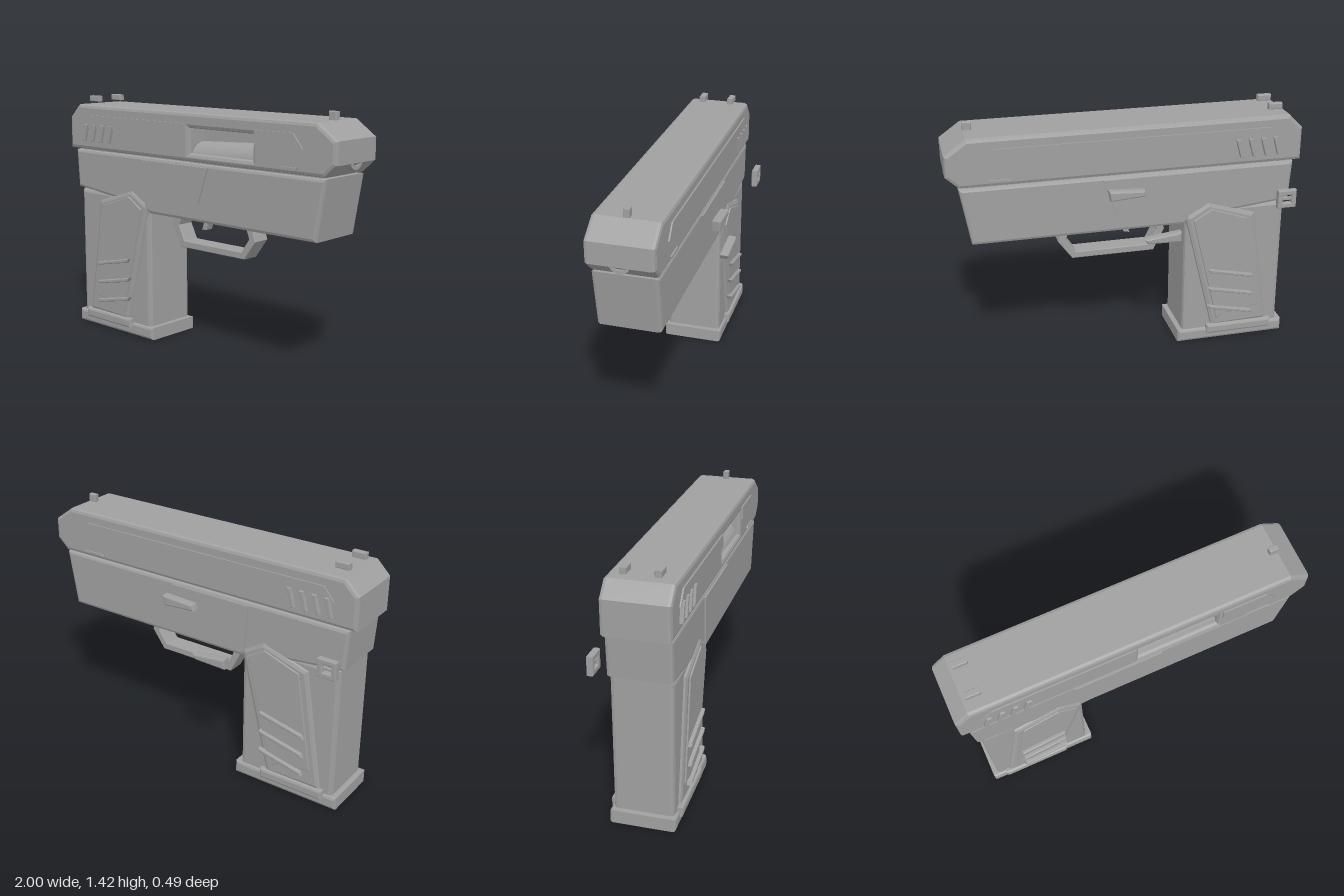
import * as THREE from 'three';

export function createModel() {
  const root = new THREE.Group();
  root.name = 'pistol';
  const g = new THREE.Group();
  g.name = 'body';
  g.position.z = 0.035; // the body sits slightly forward of the loose side controls
  root.add(g);

  const grey = new THREE.MeshStandardMaterial({ color: 0xa0a0a0 });
  grey.name = 'grey';

  const add = (name, geometry) => {
    const m = new THREE.Mesh(geometry, grey);
    m.name = name;
    g.add(m);
    return m;
  };
  const path = (pts) => pts.map(([x, y]) => new THREE.Vector2(x, y));

  // Side profile extruded from z0 to z1, with the bevel kept inside the profile
  const prism = (name, pts, z0, z1, bevel = 0, hole = null) => {
    const shape = new THREE.Shape(path(pts));
    if (hole) shape.holes.push(new THREE.Path(path(hole)));
    const geo = new THREE.ExtrudeGeometry(shape, {
      depth: z1 - z0 - 2 * bevel, bevelEnabled: bevel > 0,
      bevelSize: bevel, bevelThickness: bevel, bevelOffset: -bevel, bevelSegments: 2,
    });
    geo.translate(0, 0, z0 + bevel);
    return add(name, geo);
  };
  const both = (name, pts, z0, z1, bevel = 0) => {
    prism(name + 'Left', pts, z0, z1, bevel);
    prism(name + 'Right', pts, -z1, -z0, bevel);
  };
  const rect = (x0, y0, x1, y1) => [[x0, y0], [x1, y0], [x1, y1], [x0, y1]];

  // Slide with ejection port; the plug closes the port on the far side
  prism('slide', [[-1, 1.1], [0.93, 1.1], [1, 1.165], [1, 1.285], [0.88, 1.37], [-0.92, 1.37], [-1, 1.29]],
    -0.18, 0.18, 0.02, rect(0.01, 1.145, 0.47, 1.285));
  prism('portFloor', rect(-0.01, 1.125, 0.49, 1.305), -0.18, 0.05);
  const barrel = add('barrel', new THREE.CylinderGeometry(0.1, 0.1, 0.49, 32));
  barrel.rotation.z = Math.PI / 2 + 0.045;
  barrel.position.set(0.24, 1.115, 0.055);

  // Muzzle ring below the slide nose
  const ring = new THREE.Shape().absarc(0, 0, 0.055, 0, Math.PI * 2);
  ring.holes.push(new THREE.Path().absarc(0, 0, 0.036, 0, Math.PI * 2));
  const muzzle = add('muzzle', new THREE.ExtrudeGeometry(ring, { depth: 0.12, bevelEnabled: false, curveSegments: 16 }));
  muzzle.rotation.y = Math.PI / 2;
  muzzle.position.set(0.878, 1.185, 0);

  // Raised side strips, split around the port on the open side
  prism('slideStripRear', [[-0.87, 1.235], [-0.01, 1.235], [-0.01, 1.31], [-0.81, 1.31]], 0.18, 0.188);
  prism('slideStripFront', [[0.49, 1.235], [0.8, 1.235], [0.74, 1.31], [0.49, 1.31]], 0.18, 0.188);
  prism('slideStripFar', [[-0.87, 1.235], [0.8, 1.235], [0.74, 1.31], [-0.81, 1.31]], -0.188, -0.18);
  for (let i = 0; i < 4; i++) {
    const x = -0.87 + i * 0.073;
    both('serration', [[x, 1.15], [x + 0.02, 1.15], [x + 0.05, 1.255], [x + 0.025, 1.255]], 0.175, 0.2, 0.004);
  }
  both('slideMark', [[0.64, 1.125], [0.76, 1.125], [0.775, 1.137], [0.655, 1.137]], 0.175, 0.188);

  // Sights
  for (const z of [-0.0875, 0.0875]) {
    prism('rearSight', rect(-0.9, 1.385, -0.82, 1.42), z - 0.018, z + 0.018, 0.005);
  }
  prism('frontSight', [[0.835, 1.36], [0.88, 1.36], [0.88, 1.415], [0.83, 1.415]], -0.016, 0.016, 0.005);

  // Frame
  prism('rail', rect(-0.93, 1.07, 0.9, 1.12), -0.15, 0.15);
  prism('frame', [[-0.945, 0.86], [-0.62, 0.825], [-0.36, 0.8], [-0.32, 0.765], [0.88, 0.765], [0.935, 1.093], [-0.96, 1.093]],
    -0.172, 0.172, 0.018);
  both('framePlate', [[-0.34, 0.8], [0.08, 0.87], [0.15, 1.075], [-0.36, 1.075]], 0.17, 0.18);

  // Trigger and guard
  prism('triggerGuard', [[-0.2, 0.78], [-0.235, 0.7], [-0.17, 0.57], [0.31, 0.57], [0.39, 0.68], [0.36, 0.78],
    [0.31, 0.78], [0.345, 0.69], [0.29, 0.61], [-0.145, 0.61], [-0.19, 0.7], [-0.155, 0.78]], -0.054, 0.054, 0.005);
  prism('trigger', [[-0.035, 0.685], [0.0, 0.69], [0.035, 0.78], [-0.025, 0.78], [-0.02, 0.73]], -0.025, 0.025, 0.004);

  // Grip
  prism('gripCore', rect(-0.92, 0.05, -0.325, 0.85), -0.165, 0.165, 0.022);
  both('gripPanel', [[-0.85, 0.09], [-0.5, 0.08], [-0.32, 0.81], [-0.46, 0.89], [-0.74, 0.8]], 0.12, 0.182, 0.025);
  both('gripInlay', [[-0.785, 0.2], [-0.58, 0.17], [-0.53, 0.135], [-0.37, 0.785], [-0.475, 0.85], [-0.69, 0.775]], 0.176, 0.19, 0.004);
  for (let i = 0; i < 3; i++) {
    const y = 0.16 + i * 0.118;
    both('gripRib', [[-0.745, y], [-0.48, y + 0.055], [-0.465, y + 0.08], [-0.735, y + 0.022]], 0.18, 0.21, 0.006);
  }

  // Magazine base
  prism('basePlate', rect(-0.95, 0, -0.295, 0.075), -0.18, 0.18, 0.015);
  both('baseClip', rect(-0.87, 0.04, -0.47, 0.1), 0.1, 0.197, 0.014);

  // Controls standing off the right side
  prism('slideStop', [[-0.07, 1.0], [0.13, 0.985], [0.14, 1.045], [-0.06, 1.035]], -0.275, -0.222, 0.01);
  prism('magazineRelease', [[-0.275, 0.705], [-0.08, 0.71], [-0.06, 0.74], [-0.275, 0.765]], -0.275, -0.222, 0.01);
  prism('rearCatch', rect(-0.95, 0.85, -0.84, 0.955), -0.272, -0.236, 0.005, rect(-0.922, 0.878, -0.868, 0.927));
  prism('rearCatchBar', rect(-0.93, 0.896, -0.86, 0.909), -0.265, -0.245);

  return root;
}
